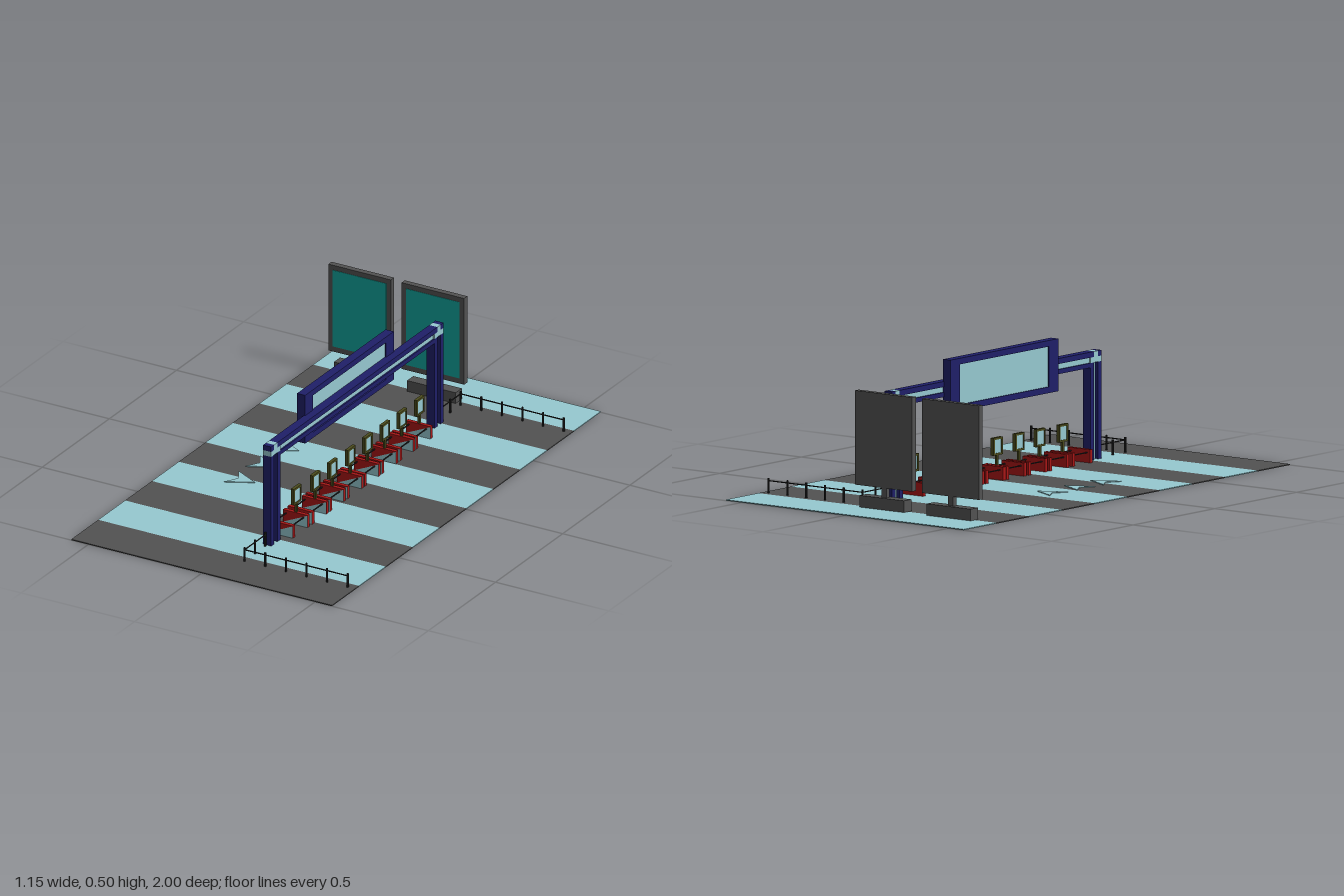
import * as THREE from 'three';

const paint = (color) => new THREE.MeshStandardMaterial({ color, side: THREE.DoubleSide });
const M = {
  pale: paint(0x96c8d0), dark: paint(0x525252), navy: paint(0x1f1f68), red: paint(0xa81616),
  teal: paint(0x10a59c), olive: paint(0x4a4a1c), black: paint(0x222222),
};

// Box given by its min/max extents on each axis
function box(parent, name, mat, [x0, x1], [y0, y1], [z0, z1]) {
  const m = new THREE.Mesh(new THREE.BoxGeometry(x1 - x0, y1 - y0, z1 - z0), mat);
  m.position.set((x0 + x1) / 2, (y0 + y1) / 2, (z0 + z1) / 2);
  m.name = name;
  parent.add(m);
  return m;
}

function group(parent, name) {
  const g = new THREE.Group();
  g.name = name;
  parent.add(g);
  return g;
}

// Rectangular frame facing +x, centred on the origin
function frame(parent, name, mat, w, h, iw, ih, depth) {
  const s = new THREE.Shape([[-w, -h], [w, -h], [w, h], [-w, h]].map(([a, b]) => new THREE.Vector2(a / 2, b / 2)));
  s.holes.push(new THREE.Path([[-iw, -ih], [-iw, ih], [iw, ih], [iw, -ih]].map(([a, b]) => new THREE.Vector2(a / 2, b / 2))));
  const geo = new THREE.ExtrudeGeometry(s, { depth, bevelEnabled: false });
  geo.translate(0, 0, -depth / 2).rotateY(Math.PI / 2);
  const m = new THREE.Mesh(geo, mat);
  m.name = name;
  parent.add(m);
  return m;
}

const FLOOR = 0.004;

function addFloor(root) {
  const floor = group(root, 'stripedFloor');
  for (let i = 0; i < 10; i++) {
    box(floor, 'floorStripe', i % 2 ? M.dark : M.pale, [-0.575, 0.575], [0, FLOOR], [-1 + i * 0.2, -0.8 + i * 0.2]);
  }
  // Direction arrows lying on the floor
  const shape = new THREE.Shape([[-0.23, 0], [-0.335, 0.055], [-0.302, 0], [-0.335, -0.055]].map(([x, y]) => new THREE.Vector2(x, y)));
  const geo = new THREE.ExtrudeGeometry(shape, { depth: 0.003, bevelEnabled: false });
  geo.rotateX(-Math.PI / 2);
  for (const z of [-0.112, 0.055, 0.215]) {
    const arrow = new THREE.Mesh(geo, M.pale);
    arrow.name = 'floorArrow';
    arrow.position.set(0, FLOOR, z);
    floor.add(arrow);
  }
}

function addBillboard(root, x) {
  const b = group(root, 'billboard');
  b.position.set(x, 0, -0.802);
  box(b, 'billboardBase', M.dark, [-0.107, 0.107], [FLOOR, 0.049], [-0.023, 0.023]);
  box(b, 'billboardPost', M.dark, [-0.012, 0.012], [0.049, 0.086], [-0.01, 0.01]);
  box(b, 'billboardPanel', M.dark, [-0.138, 0.138], [0.086, 0.448], [-0.012, 0.012]);
  box(b, 'billboardScreen', M.teal, [-0.118, 0.118], [0.108, 0.428], [0.011, 0.0135]);
}

function addGantry(root) {
  const g = group(root, 'gantry');
  const X = [0.073, 0.109], C = 0.091;
  const cols = [0.632, -0.583], half = 0.034, slot = 0.012;
  for (const z of cols) {
    // Paired flanges with a recessed web, and a crossing strip at the corner
    for (const s of [-1, 1]) {
      const Z = [z + (s > 0 ? slot : -half), z + (s > 0 ? half : -slot)];
      box(g, 'columnFlange', M.navy, X, [FLOOR, 0.378], Z);
      box(g, 'cornerCap', M.navy, X, [0.399, 0.42], Z);
    }
    box(g, 'columnWeb', M.pale, [C - 0.004, C + 0.004], [FLOOR, 0.378], [z - slot, z + slot]);
    box(g, 'cornerStripAcross', M.pale, X, [0.378, 0.399], [z - half, z + half]);
    box(g, 'cornerStripUpper', M.pale, X, [0.399, 0.42], [z - slot, z + slot]);
  }
  const Z = [cols[1] + half, cols[0] - half];
  box(g, 'beamLowerRail', M.navy, X, [0.36, 0.378], Z);
  box(g, 'beamUpperRail', M.navy, X, [0.399, 0.42], Z);
  box(g, 'beamCore', M.pale, [C - 0.012, C + 0.012], [0.378, 0.399], Z);
}

function addSign(root) {
  const s = group(root, 'overheadSign');
  s.position.set(0.06, 0.404, 0.031);
  frame(s, 'signFrame', M.navy, 0.66, 0.202, 0.546, 0.155, 0.036);
  box(s, 'signFace', M.pale, [-0.013, 0.013], [-0.08, 0.08], [-0.275, 0.275]);
}

function addGates(root) {
  const gates = group(root, 'gateRow');
  const lanes = [[0.556, 0.447], [0.412, 0.307], [0.28, 0.179], [0.15, 0.045],
    [0.024, -0.082], [-0.107, -0.211], [-0.241, -0.338], [-0.36, -0.468]];
  const tri = new THREE.Shape([[0.036, FLOOR], [0.144, FLOOR], [0.144, 0.054]].map(([x, y]) => new THREE.Vector2(x, y)));
  const triGeo = new THREE.ShapeGeometry(tri);
  for (const [front, back] of lanes) {
    const lane = group(gates, 'gateLane');
    for (const z of [front, back]) {
      box(lane, 'gatePanel', M.red, [0.036, 0.144], [FLOOR, 0.055], [z - 0.008, z + 0.008]);
      const t = new THREE.Mesh(triGeo, M.pale);
      t.name = 'gatePanelTriangle';
      t.position.z = z + 0.009;
      lane.add(t);
    }
    // Thin bars crossing the lane
    for (const x of [0.05, 0.127]) {
      box(lane, 'laneBar', M.black, [x - 0.002, x + 0.002], [0.041, 0.045], [back, front]);
    }
    // Status display on a short post
    const d = group(lane, 'gateDisplay');
    d.position.set(0.09, 0.127, back);
    box(d, 'displayPost', M.olive, [-0.005, 0.005], [-0.074, -0.033], [-0.005, 0.005]);
    frame(d, 'displayFrame', M.olive, 0.056, 0.068, 0.04, 0.052, 0.014);
    box(d, 'displayScreen', M.pale, [-0.005, 0.005], [-0.027, 0.027], [-0.021, 0.021]);
  }
}

function addFence(root, z, zInner) {
  const f = group(root, 'fence');
  const r = 0.003;
  const post = (x, pz) => box(f, 'fencePost', M.black, [x - r, x + r], [FLOOR, 0.062], [pz - r, pz + r]);
  for (let i = 0; i < 6; i++) post(0.09 + i * 0.091, z);
  post(0.09, (z + zInner) / 2);
  post(0.09, zInner);
  box(f, 'fenceRail', M.black, [0.09, 0.545], [0.05, 0.054], [z - 0.0015, z + 0.0015]);
  box(f, 'fenceReturnRail', M.black, [0.0885, 0.0915], [0.05, 0.054], [Math.min(z, zInner), Math.max(z, zInner)]);
}

export function createModel() {
  const root = new THREE.Group();
  root.name = 'entranceGates';
  addFloor(root);
  for (const x of [-0.364, -0.041]) addBillboard(root, x);
  addGantry(root);
  addSign(root);
  addGates(root);
  addFence(root, 0.832, 0.678);
  addFence(root, -0.776, -0.62);
  return root;
}
